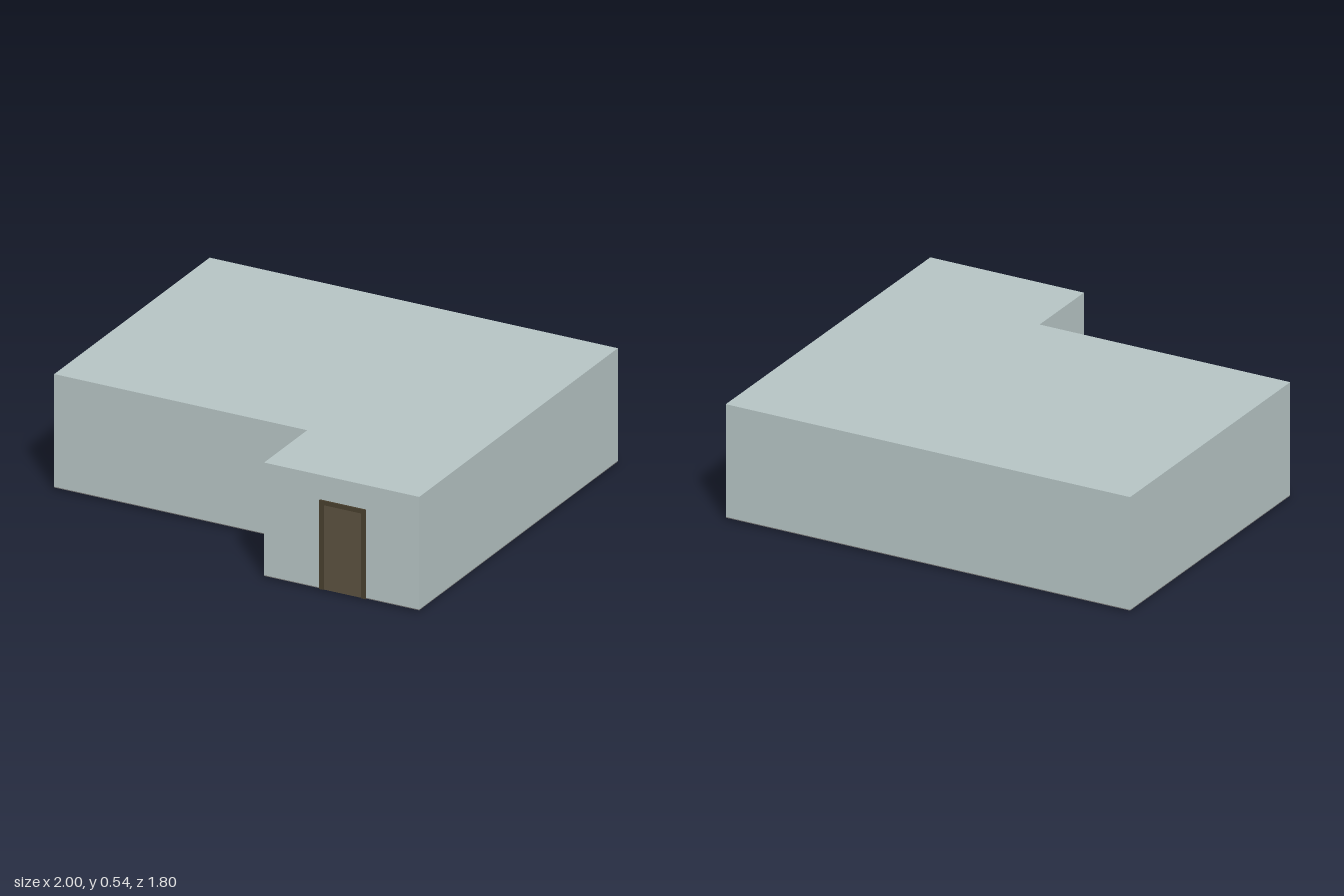
import * as THREE from 'three';

export function createModel() {
  const model = new THREE.Group();
  const material = (name, color) => {
    const m = new THREE.MeshStandardMaterial({ color });
    m.name = name;
    return m;
  };
  const wallPaint = material('pale grey-green walls', 0xb6c4c4);
  const floorGrey = material('dark grey floor', 0x757575);
  const frameWood = material('dark brown frame', 0x483f2e);
  const doorWood = material('brown door', 0x5b513f);
  const footDark = material('charcoal feet', 0x3c3c3c);

  const add = (name, geometry, mat, x = 0, y = 0, z = 0) => {
    const mesh = new THREE.Mesh(geometry, mat);
    mesh.name = name;
    mesh.position.set(x, y, z);
    model.add(mesh);
  };

  // L-shaped plan, drawn as x and -z, then raised upright
  const plan = new THREE.Shape([
    [-1, 0.9], [-1, -0.5], [0.24, -0.5], [0.24, -0.888], [1, -0.888], [1, 0.9],
  ].map(([x, y]) => new THREE.Vector2(x, y)));
  const slab = (depth) =>
    new THREE.ExtrudeGeometry(plan, { depth, bevelEnabled: false }).rotateX(-Math.PI / 2);

  // Floor and the closed block of walls and roof
  add('floor', slab(0.004), floorGrey, 0, 0.01, 0);
  add('wallsAndRoof', slab(0.531), wallPaint, 0, 0.014, 0);

  // Door frame: an arch of three flat strips with an open bottom
  const frame = new THREE.Shape([
    [0.514, 0.01], [0.534, 0.01], [0.534, 0.41], [0.72, 0.41],
    [0.72, 0.01], [0.74, 0.01], [0.74, 0.43], [0.514, 0.43],
  ].map(([x, y]) => new THREE.Vector2(x, y)));
  add('doorFrame', new THREE.ExtrudeGeometry(frame, { depth: 0.009, bevelEnabled: false }),
    frameWood, 0, 0, 0.887);

  // Door leaf, set back inside the frame
  add('door', new THREE.BoxGeometry(0.186, 0.4, 0.005), doorWood, 0.627, 0.21, 0.8885);

  // Small feet just below the floor: x, z, width, depth
  [
    [0.89, -0.4, 0.015, 0.03], [-0.16, -0.35, 0.04, 0.02],
    [-0.61, -0.54, 0.04, 0.03], [-0.51, 0.42, 0.02, 0.015], [0.11, -0.53, 0.03, 0.02],
  ].forEach(([x, z, w, d]) =>
    add('furnitureFoot', new THREE.BoxGeometry(w, 0.009, d), footDark, x, 0.0055, z));

  return model;
}
